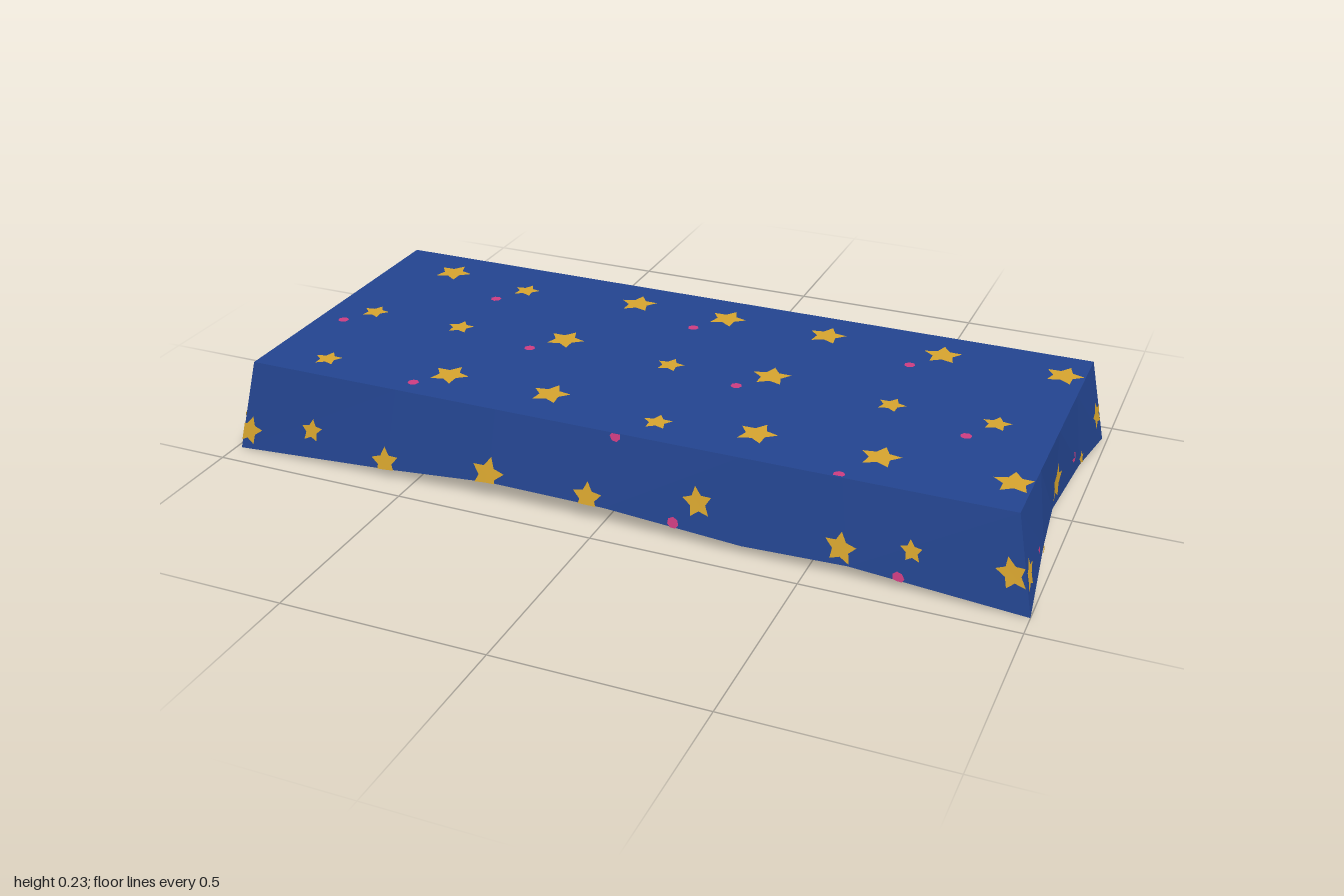
import * as THREE from 'three';

const H = 0.225, TX = 0.95, TZ = 0.397, HEM_Z = 0.437, PINCH_X = 0.952;
const { clamp, lerp } = THREE.MathUtils;
const V = (x, y, z) => new THREE.Vector3(x, y, z);

function material(name, color) {
  const m = new THREE.MeshStandardMaterial({ color, side: THREE.DoubleSide });
  m.name = name;
  return m;
}
const blue = material('blue cloth', 0x23448f);
const gold = material('gold', 0xd6a42e);
const pink = material('pink', 0xcc3c80);

// The hem is slightly skewed: one diagonal pair of corners reaches further out
const cornerX = (sx, sz) => sx * (sx === sz ? 1 : 0.987);

// Folds of the hem, as fractions of the way along a long or a short side
const LONG_FOLDS = [0, 0.21, 0.35, 0.5, 0.67, 0.795, 1];
const SHORT_FOLDS = [0, 0.25, 0.5, 0.75, 1];

function meshFrom(points, mat, name) {
  const geo = new THREE.BufferGeometry().setFromPoints(points);
  geo.computeVertexNormals();
  const mesh = new THREE.Mesh(geo, mat);
  mesh.name = name;
  return mesh;
}

// Surface rule of the flat top
const topPoint = (x, z) => V(clamp(x, -TX, TX), H, clamp(z, -TZ, TZ));

// Surface rule of a hanging side: a distance along it and a height give a point
function skirtSurface(long, sign, folds, heights) {
  const first = long ? cornerX(-1, sign) : -HEM_Z;
  const last = long ? cornerX(1, sign) : HEM_Z;
  const half = long ? TX : TZ;
  const edge = sign * (long ? TZ : TX);
  return (along, y) => {
    const s = clamp(along, first, last), k = (s - first) / (last - first);
    let i = 0;
    while (i < folds.length - 2 && k > folds[i + 1]) i++;
    const hemY = lerp(heights[i], heights[i + 1], (k - folds[i]) / (folds[i + 1] - folds[i]));
    // Long hems run straight, short hems pinch inwards halfway
    const across = long ? sign * HEM_Z
      : lerp(sign * PINCH_X, cornerX(sign, k < 0.5 ? -1 : 1), Math.abs(2 * k - 1));
    const v = clamp((H - y) / (H - hemY), 0, 1);
    const p = lerp(lerp(-half, half, k), s, v), q = lerp(edge, across, v);
    return long ? V(p, lerp(H, hemY, v), q) : V(q, lerp(H, hemY, v), p);
  };
}

// Stars or dots [a, b, radius] laid on both faces of the cloth
function marks(list, surface, out, isStar, name) {
  const pts = [], n = isStar ? 10 : 7;
  list.forEach(([a, b, r = isStar ? 0.038 : 0.014], m) => {
    const turn = (m % 3 - 1) * 0.15 + Math.PI / 2;
    const rim = i => {
      const angle = turn + (i / n) * Math.PI * 2;
      const rr = isStar && i % 2 ? r * 0.52 : r;
      return surface(a + Math.cos(angle) * rr, b + Math.sin(angle) * rr);
    };
    for (const off of [0.003, -0.003]) {
      for (let i = 0; i < n; i++) {
        const tri = [surface(a, b), rim(i), rim(i + 1)];
        const normal = tri[1].clone().sub(tri[0]).cross(tri[2].clone().sub(tri[0]));
        if (normal.dot(out) * off < 0) tri.reverse();
        pts.push(...tri.map(p => p.addScaledVector(out, off)));
      }
    }
  });
  return meshFrom(pts, isStar ? gold : pink, name);
}

// One flared side with its wavy hem and printed marks
function skirt(name, long, sign, heights, stars, dots) {
  const folds = long ? LONG_FOLDS : SHORT_FOLDS;
  const surface = skirtSurface(long, sign, folds, heights);
  const out = long ? V(0, 0, sign) : V(sign, 0, 0);
  const first = long ? cornerX(-1, sign) : -HEM_Z;
  const last = long ? cornerX(1, sign) : HEM_Z;
  const pts = [];
  for (let i = 0; i < folds.length - 1; i++) {
    const s0 = lerp(first, last, folds[i]), s1 = lerp(first, last, folds[i + 1]);
    const a = surface(s0, -1), b = surface(s1, -1), c = surface(s1, H), d = surface(s0, H);
    const tris = [a, b, c, a, c, d];
    // Front and right run the same way round; the other two are turned over
    pts.push(...(long === (sign > 0) ? tris : tris.reverse()));
  }
  const group = new THREE.Group();
  group.name = name;
  group.add(
    meshFrom(pts, blue, name + 'Cloth'),
    marks(stars, surface, out, true, name + 'Stars'),
    marks(dots, surface, out, false, name + 'Dots'),
  );
  return group;
}

// A row of stars across the top; the small ones sit a little nearer the front
const starRow = (z, xs, small) => xs.map((x, i) =>
  small.includes(i) ? [x, z + 0.035, 0.036] : [x, z, 0.049]);

function clothTop() {
  const [a, b, c, d] = [topPoint(-1, -1), topPoint(-1, 1), topPoint(1, 1), topPoint(1, -1)];
  const stars = [
    ...starRow(-0.285, [-0.77, -0.53, -0.22, 0.03, 0.3, 0.6, 0.9], [1]),
    ...starRow(-0.01, [-0.83, -0.58, -0.3, 0, 0.25, 0.56, 0.81], [0, 1, 3, 5, 6]),
    ...starRow(0.28, [-0.79, -0.47, -0.2, 0.09, 0.32, 0.61, 0.91], [0, 3]),
  ];
  const dots = [[-0.58, -0.17], [-0.03, -0.2], [0.54, -0.2], [-0.88, 0.1], [-0.36, 0.07],
    [0.19, 0.07], [0.76, 0.11], [-0.53, 0.35], [0.55, 0.39]];
  const up = V(0, 1, 0);
  const group = new THREE.Group();
  group.name = 'clothTop';
  group.add(
    meshFrom([a, b, c, a, c, d], blue, 'topCloth'),
    // Star points face the back edge
    marks(stars.map(([x, z, r]) => [x, -z, r]), (x, y) => topPoint(x, -y), up, true, 'topStars'),
    marks(dots, topPoint, up, false, 'topDots'),
  );
  return group;
}

export function createModel() {
  const group = new THREE.Group();
  group.name = 'starryCloth';
  group.add(
    clothTop(),
    skirt('frontSkirt', true, 1, [0, 0.026, 0.05, 0.047, 0.024, 0.031, 0],
      [[-0.97, 0.05], [-0.79, 0.083, 0.03], [-0.575, 0.045], [-0.295, 0.07, 0.044], [-0.035, 0.065],
        [0.24, 0.105], [0.58, 0.07], [0.745, 0.095, 0.027], [0.97, 0.09]],
      [[0.03, 0.22], [0.18, 0.047], [0.71, 0.03]]),
    skirt('backSkirt', true, -1, [0, 0.04, 0.052, 0.05, 0.02, 0.036, 0],
      [-0.98, -0.8, -0.57, -0.3, -0.04, 0.27, 0.58, 0.81].map(x => [x, 0.09]),
      [[0.76, 0.16], [0.2, 0.14], [-0.38, 0.15], [-0.92, 0.14]]),
    skirt('leftSkirt', false, 1, [0, 0.03, 0.022, 0.05, 0],
      [[-0.4, 0.088], [-0.23, 0.045, 0.02], [0, 0.092, 0.05], [0.235, 0.05, 0.012], [0.415, 0.085]],
      [[0.295, 0.08, 0.008], [-0.165, 0.08]]),
    skirt('rightSkirt', false, -1, [0, 0.032, 0.05, 0.025, 0],
      [-0.41, -0.3, 0, 0.24, 0.41].map(z => [z, 0.08]),
      [[0.12, 0.13], [-0.17, 0.14]]),
  );
  return group;
}
